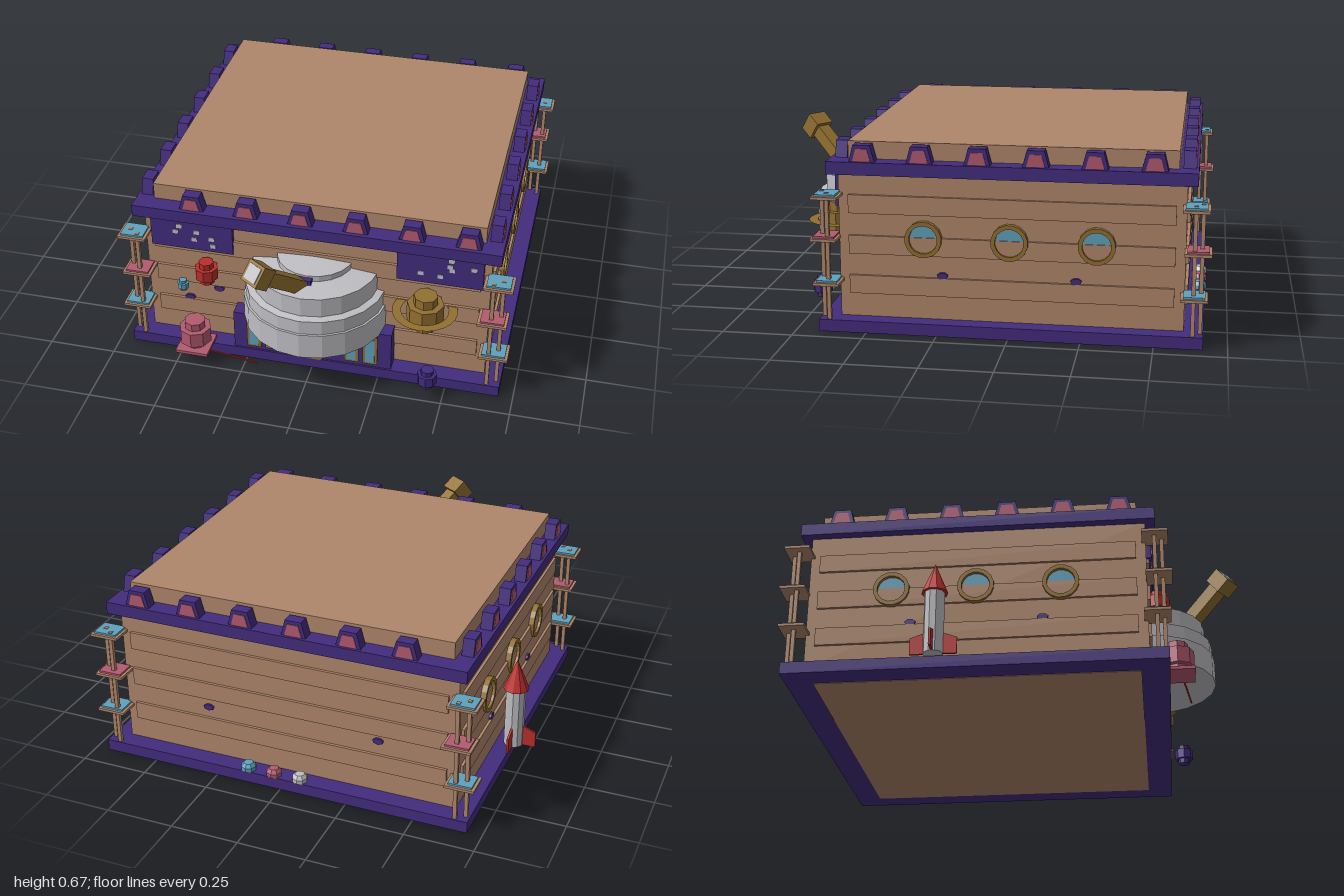
import * as THREE from 'three';

const mat = (name, color, side = THREE.FrontSide) => {
  const m = new THREE.MeshStandardMaterial({ color, flatShading: true, side });
  m.name = name;
  return m;
};

export function createModel() {
  const root = new THREE.Group();
  root.name = 'observatoryBuilding';
  const tan = mat('tan wood', 0xb0876b), purple = mat('deep purple', 0x432c7e);
  const grey = mat('pale grey', 0xc0bfc4), gold = mat('old gold', 0x937030, THREE.DoubleSide);
  const red = mat('red', 0xbb2e2c), pink = mat('dusty pink', 0xb35a70), blue = mat('sky blue', 0x5fa2be);

  const add = (name, geo, m, x = 0, y = 0, z = 0, parent = root) => {
    const mesh = new THREE.Mesh(geo, m);
    mesh.name = name;
    mesh.position.set(x, y, z);
    parent.add(mesh);
    return mesh;
  };
  const box = (name, m, w, h, d, x, y, z, parent) =>
    add(name, new THREE.BoxGeometry(w, h, d), m, x, y, z, parent);
  const group = (name, x = 0, y = 0, z = 0, ry = 0) => {
    const g = new THREE.Group();
    g.name = name;
    g.position.set(x, y, z);
    g.rotation.y = ry;
    root.add(g);
    return g;
  };
  const lathe = (pts, n) => new THREE.LatheGeometry(pts.map(p => new THREE.Vector2(...p)), n);
  const prism = (pts, depth) => new THREE.ExtrudeGeometry(
    new THREE.Shape(pts.map(p => new THREE.Vector2(...p))), { depth, bevelEnabled: false });
  // Flat ring frame with a chosen number of sides
  const frame = (ro, ri, n, depth) => {
    const loop = r => Array.from({ length: n }, (_, i) => {
      const a = (i + 0.5) / n * Math.PI * 2;
      return new THREE.Vector2(r * Math.cos(a), r * Math.sin(a));
    });
    const s = new THREE.Shape(loop(ro));
    s.holes.push(new THREE.Path(loop(ri)));
    return new THREE.ExtrudeGeometry(s, { depth, bevelEnabled: false });
  };

  // Main block: plinth, walls, cornice and roof
  box('plinth', purple, 1.395, 0.043, 1.333, 0, 0.0235, 0);
  box('floor', tan, 1.21, 0.02, 1.14, 0, 0.01, 0);
  box('walls', tan, 1.27, 0.52, 1.2, 0, 0.305, 0);
  box('cornice', purple, 1.34, 0.045, 1.27, 0, 0.5825, 0);
  box('roof', tan, 1.21, 0.1, 1.14, 0, 0.617, 0);

  // Raised planks on all four walls
  for (const y of [0.163, 0.307, 0.452]) for (const s of [-1, 1]) {
    box('plank', tan, 1.2, 0.066, 0.012, 0, y, s * 0.604);
    box('plank', tan, 0.012, 0.066, 1.13, s * 0.639, y, 0);
  }

  // Roof battlements with pink fronts
  const blockGeo = prism([[-0.046, 0], [0.046, 0], [0.03, 0.06], [-0.03, 0.06]], 0.042);
  const insetGeo = prism([[-0.032, 0.003], [0.032, 0.003], [0.02, 0.047], [-0.02, 0.047]], 0.004);
  const battlement = (x, z, ry) => {
    const g = group('battlement', x, 0.603, z, ry);
    add('block', blockGeo, purple, 0, 0, -0.021, g);
    add('inset', insetGeo, pink, 0, 0, 0.02, g);
  };
  for (let i = 0; i < 6; i++) {
    const x = -0.45 + i * 0.2, z = -0.49 + i * 0.2;
    battlement(x, 0.597, 0);
    battlement(x, -0.603, Math.PI);
    battlement(0.637, z, Math.PI / 2);
    battlement(-0.637, z, -Math.PI / 2);
  }

  // Corner stands: thin posts with stacked trays
  for (const sx of [-1, 1]) for (const sz of [-1, 1]) {
    const g = group('cornerStand');
    box('post', tan, 0.014, 0.455, 0.014, sx * 0.682, 0.272, sz * 0.63, g);
    box('post', tan, 0.014, 0.455, 0.014, sx * 0.65, 0.272, sz * 0.655, g);
    [0.485, 0.333, 0.178].forEach((y, i) => {
      const x = sx * (i === 1 ? 0.655 : 0.667), z = sz * (i === 1 ? 0.642 : 0.632);
      box('tray', tan, 0.105, 0.01, 0.092, x, y, z, g);
      box('trayTop', i === 1 ? pink : blue, 0.085, 0.008, 0.074, x, y + 0.008, z, g);
    });
  }

  // Portholes along both sides, with the planks crossing the glass
  const portRing = frame(0.065, 0.05, 16, 0.02);
  for (const s of [-1, 1]) for (const z of [-0.3, 0, 0.3]) {
    const g = group('porthole', s * 0.635, 0.335, z, s * Math.PI / 2);
    add('ring', portRing, gold, 0, 0, 0, g);
    add('glass', new THREE.CircleGeometry(0.052, 16), blue, 0, 0, 0.006, g);
  }

  // Small purple spots on the walls
  const spot = (x, y, z, ry) => {
    const m = add('wallSpot', new THREE.CylinderGeometry(0.02, 0.02, 0.009, 7).rotateX(Math.PI / 2), purple, x, y, z);
    m.scale.y = 0.6;
    m.rotation.y = ry;
  };
  for (const s of [-1, 1]) for (const z of [-0.23, 0.235]) spot(s * 0.639, 0.205, z, s * Math.PI / 2);
  for (const [x, y, z] of [[-0.365, 0.26, 0.604], [-0.48, 0.202, 0.604], [0.3, 0.24, -0.604], [-0.35, 0.25, -0.604]])
    spot(x, y, z, z < 0 ? Math.PI : 0);

  // Starry panels
  const stars = [[-0.5, 0.53], [-0.515, 0.505], [-0.435, 0.512], [-0.445, 0.48], [-0.38, 0.49], [-0.375, 0.46],
    [0.495, 0.552], [0.49, 0.527], [0.575, 0.527], [0.387, 0.485], [0.457, 0.48], [0.498, 0.512]];
  for (const s of [-1, 1]) box('starPanel', purple, 0.308, 0.115, 0.02, s * 0.455, 0.492, 0.608);
  stars.forEach(([x, y], i) =>
    box('star', grey, 0.02, 0.016, 0.004, x, y - (i > 5 ? 0.01 : 0), 0.619));

  // Entrance porch with octagonal door and narrow windows
  box('porch', purple, 0.595, 0.16, 0.1, 0, 0.124, 0.61);
  add('doorFrame', frame(0.087, 0.075, 8, 0.009), gold, 0, 0.125, 0.66);
  for (const x of [-0.22, -0.15, 0.15, 0.22]) {
    box('windowFrame', gold, 0.054, 0.125, 0.006, x, 0.122, 0.662);
    box('windowGlass', blue, 0.034, 0.105, 0.004, x, 0.122, 0.666);
  }

  // Stepped observatory dome
  add('dome', lathe([[0, 0.2], [0.266, 0.2], [0.266, 0.3], [0.258, 0.3], [0.258, 0.355], [0.232, 0.36],
    [0.232, 0.435], [0.14, 0.445], [0.14, 0.467], [0, 0.475]], 20), grey, 0, 0, 0.58);
  box('telescopeMount', purple, 0.05, 0.03, 0.03, -0.005, 0.445, 0.725);

  // Telescope pointing up and outward
  const scope = group('telescope', -0.01, 0.42, 0.72);
  scope.lookAt(-0.135, 0.59, 0.905);
  box('barrel', gold, 0.052, 0.052, 0.24, 0, 0, 0.12, scope);
  box('hood', gold, 0.078, 0.078, 0.06, 0, 0, 0.255, scope);
  box('lens', grey, 0.056, 0.056, 0.004, 0, 0, 0.286, scope);

  // Blocky planets: stacked octagonal drums
  const planet = (name, m, r, h, x, y, z) => add(name, lathe(
    [[0, -1], [0.65, -1], [0.65, -0.5], [1, -0.5], [1, 0.5], [0.65, 0.5], [0.65, 1], [0, 1]]
      .map(([a, b]) => [a * r, b * h]), 8), m, x, y, z);
  planet('ringedPlanet', gold, 0.067, 0.07, 0.415, 0.337, 0.655);
  add('planetRing', new THREE.RingGeometry(0.085, 0.117, 24).rotateX(-Math.PI / 2), gold, 0.413, 0.337, 0.652);
  planet('redPlanet', red, 0.043, 0.045, -0.4, 0.355, 0.635);
  planet('bluePlanet', blue, 0.022, 0.022, -0.5, 0.268, 0.62);
  planet('purplePlanet', purple, 0.036, 0.038, 0.442, 0.087, 0.72);
  planet('pinkPlanet', pink, 0.06, 0.06, -0.437, 0.112, 0.695);
  box('pinkStand', pink, 0.122, 0.012, 0.122, -0.437, 0.056, 0.695);
  const cord = box('cord', red, 0.2, 0.005, 0.005, -0.285, 0.052, 0.73);
  cord.rotation.y = -0.14;

  // Row of little pebbles at the back
  [[-0.07, grey], [0.03, pink], [0.13, blue]].forEach(([x, m]) =>
    add('pebble', lathe([[0, 0], [0.028, 0], [0.028, 0.015], [0.018, 0.028], [0, 0.03]], 8), m, x, 0.045, -0.645));

  // Rocket leaning on the side wall
  const rocket = group('rocket', -0.7, 0.05, -0.135);
  add('rocketBody', new THREE.CylinderGeometry(0.036, 0.036, 0.235, 10), grey, 0, 0.1175, 0, rocket);
  add('noseCone', new THREE.ConeGeometry(0.047, 0.115, 10), red, 0, 0.29, 0, rocket);
  const finGeo = prism([[0.03, 0], [0.082, 0], [0.082, 0.06], [0.03, 0.08]], 0.008);
  for (const a of [Math.PI / 2, Math.PI, -Math.PI / 2]) {
    const pivot = new THREE.Group();
    pivot.name = 'fin';
    pivot.rotation.y = a;
    rocket.add(pivot);
    add('finBlade', finGeo, red, 0, 0, -0.004, pivot);
  }
  return root;
}
